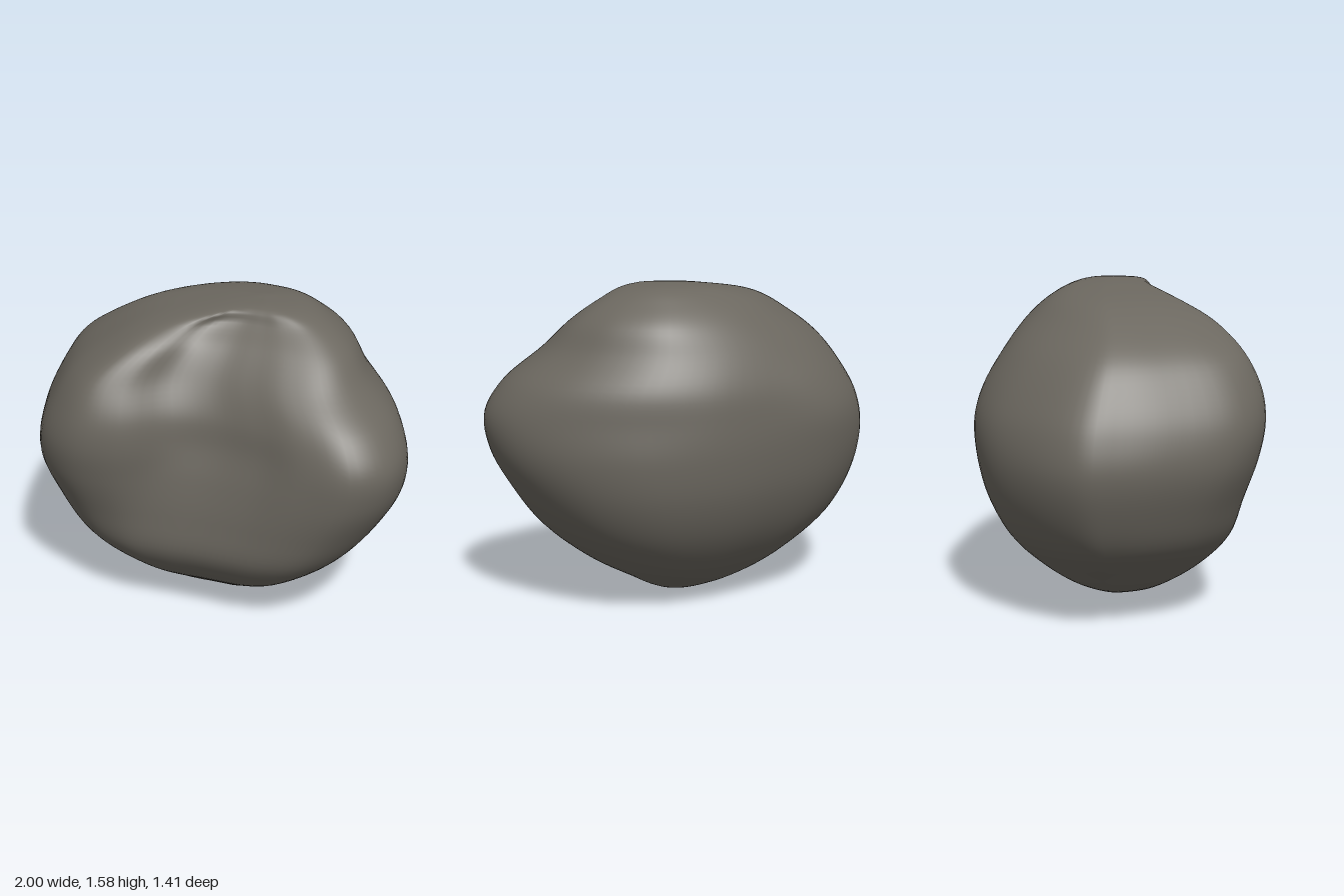
import * as THREE from 'three';
import { mergeVertices } from 'three/addons/utils/BufferGeometryUtils.js';

const COLUMNS = 96, ROWS = 72;

// Plan outline of the lower body: a rounded wedge without a hollow.
const lower = [
  [-1, -0.16], [-0.89, -0.5], [-0.68, -0.82], [-0.4, -0.98], [-0.05, -1], [0.33, -0.96],
  [0.67, -0.78], [0.9, -0.45], [1, 0], [0.97, 0.42], [0.82, 0.74], [0.6, 0.88],
  [0.36, 0.92], [0.12, 0.95], [-0.11, 0.99], [-0.33, 1], [-0.54, 0.92], [-0.75, 0.69],
  [-0.9, 0.36], [-0.98, 0.08],
];

// Plan outline of the middle: two lobes with a shallow hollow between them at the front.
const middle = [
  [-1, -0.16], [-0.89, -0.49], [-0.68, -0.82], [-0.4, -1], [-0.08, -0.98], [0.3, -0.89],
  [0.61, -0.66], [0.84, -0.32], [0.98, 0.06], [0.98, 0.4], [0.84, 0.63], [0.6, 0.66],
  [0.36, 0.6], [0.13, 0.59], [-0.07, 0.69], [-0.27, 0.92], [-0.5, 1], [-0.72, 0.84],
  [-0.88, 0.44], [-0.97, 0.1],
];

// Plan outline of the crown: a lobe at the front left, cut back straight on the right.
const crown = [
  [-1, -0.08], [-0.89, -0.37], [-0.68, -0.67], [-0.4, -0.9], [-0.05, -1], [0.33, -0.96],
  [0.66, -0.79], [0.9, -0.44], [1, -0.08], [0.97, 0.18], [0.85, 0.36], [0.62, 0.45],
  [0.37, 0.47], [0.13, 0.5], [-0.11, 0.63], [-0.33, 0.9], [-0.55, 1], [-0.74, 0.77],
  [-0.89, 0.39], [-0.98, 0.12],
];

// Height, left edge, right edge, back edge, front edge, outline (0 lower, 1 middle, 2 crown).
const levels = [
  [0, 0.05, 0.05, 0, 0, 0],
  [0.025, -0.17, 0.18, -0.14, 0.12, 0],
  [0.1, -0.39, 0.32, -0.27, 0.24, 0],
  [0.22, -0.58, 0.52, -0.42, 0.4, 0],
  [0.4, -0.82, 0.73, -0.56, 0.55, 0.1],
  [0.6, -0.94, 0.88, -0.65, 0.62, 0.4],
  [0.8, -0.995, 0.98, -0.69, 0.68, 0.75],
  [0.97, -0.965, 0.995, -0.695, 0.7, 1],
  [1.12, -0.89, 0.92, -0.665, 0.68, 1.25],
  [1.28, -0.77, 0.745, -0.585, 0.6, 1.7],
  [1.41, -0.58, 0.64, -0.49, 0.46, 2],
  [1.5, -0.38, 0.52, -0.39, 0.28, 1.9],
  [1.56, -0.06, 0.38, -0.27, 0.08, 0],
  [1.583, 0.18, 0.18, -0.09, -0.09, 0],
];

// Closed smooth cross-section, fitted to the edges of its level.
function section([y, left, right, back, front, blend]) {
  const [from, to] = blend < 1 ? [lower, middle] : [middle, crown];
  const share = blend < 1 ? blend : blend - 1;
  const points = from.map(([x, z], i) => {
    const nx = THREE.MathUtils.lerp(x, to[i][0], share);
    const nz = THREE.MathUtils.lerp(z, to[i][1], share);
    return new THREE.Vector3(
      (left + right) / 2 + nx * (right - left) / 2, y,
      (back + front) / 2 + nz * (front - back) / 2);
  });
  if (right === left) return Array.from({ length: COLUMNS }, () => points[0]);
  const curve = new THREE.CatmullRomCurve3(points, true, 'catmullrom', 0.5);
  return Array.from({ length: COLUMNS }, (_, j) => curve.getPoint(j / COLUMNS));
}

// Skin running from the bottom pole to the top pole through all sections.
function boulderGeometry() {
  const sections = levels.map(section);
  const positions = [], indices = [];
  for (let j = 0; j < COLUMNS; j++) {
    const rib = new THREE.CatmullRomCurve3(sections.map((s) => s[j]), false, 'centripetal');
    for (let i = 0; i <= ROWS; i++) {
      const p = rib.getPoint(i / ROWS);
      positions.push(p.x, Math.max(0, p.y), p.z);
      if (i === ROWS) continue;
      const a = j * (ROWS + 1) + i;
      const b = ((j + 1) % COLUMNS) * (ROWS + 1) + i;
      if (i < ROWS - 1) indices.push(a, a + 1, b + 1);
      if (i > 0) indices.push(a, b + 1, b);
    }
  }
  let geometry = new THREE.BufferGeometry();
  geometry.setAttribute('position', new THREE.Float32BufferAttribute(positions, 3));
  geometry.setIndex(indices);
  geometry = mergeVertices(geometry, 1e-5);
  geometry.computeVertexNormals();
  return geometry;
}

export function createModel() {
  const stone = new THREE.MeshStandardMaterial({ color: 0x6b675f });
  stone.name = 'stone grey';
  const boulder = new THREE.Mesh(boulderGeometry(), stone);
  boulder.name = 'boulder';
  const group = new THREE.Group();
  group.name = 'rock';
  group.add(boulder);
  return group;
}
